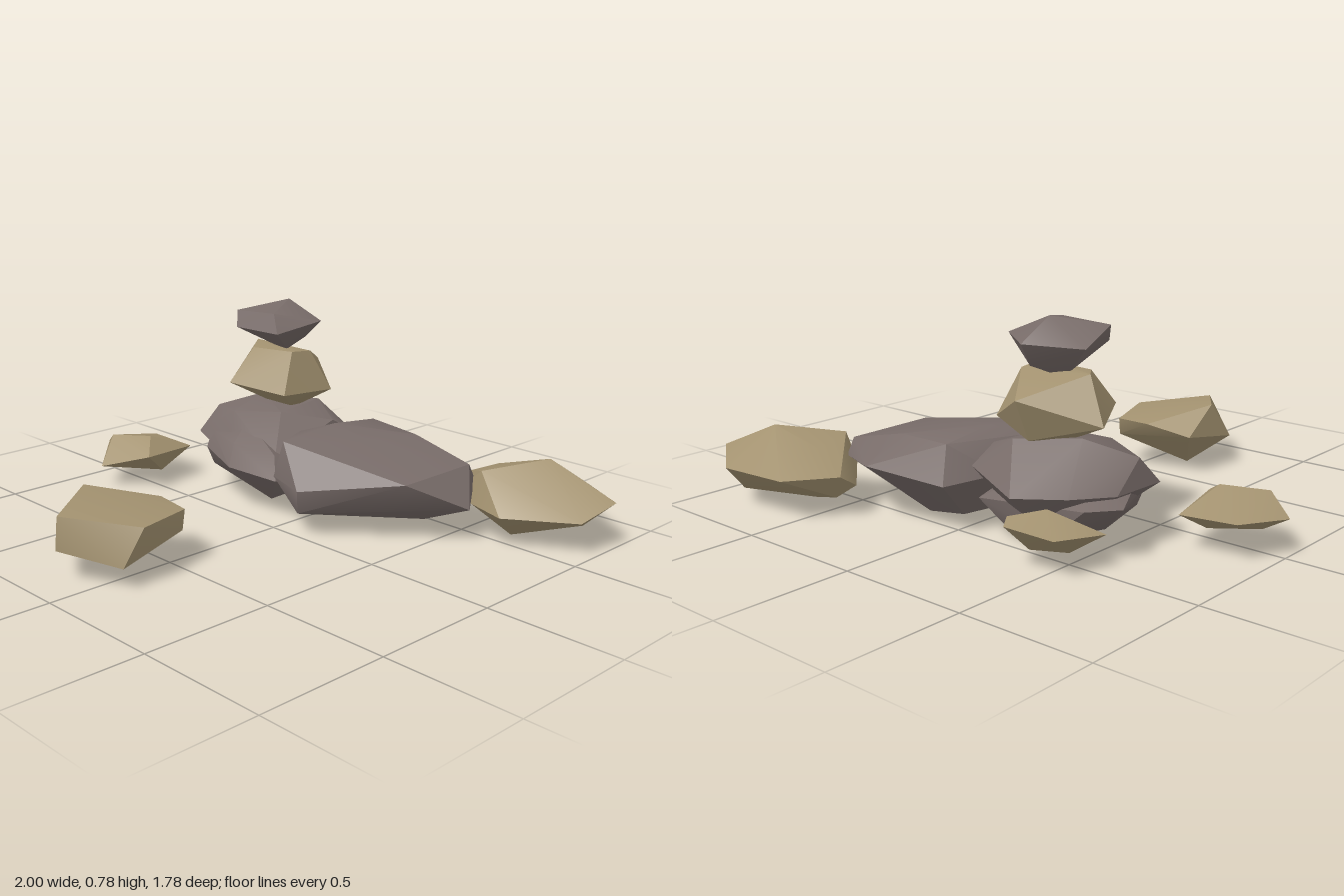
import * as THREE from 'three';
import { ConvexGeometry } from 'three/addons/geometries/ConvexGeometry.js';
import { toCreasedNormals } from 'three/addons/utils/BufferGeometryUtils.js';

// Each stone is the convex hull of a few corners [x, y, z]
const darkStones = {
  capStone: [
    [-0.33, 0.79, -0.4], [-0.45, 0.75, -0.23], [-0.25, 0.76, -0.24],
    [-0.49, 0.7, -0.41], [-0.42, 0.69, -0.2], [-0.2, 0.69, -0.21], [-0.17, 0.72, -0.42], [-0.31, 0.71, -0.515],
    [-0.39, 0.61, -0.36], [-0.27, 0.605, -0.33], [-0.33, 0.59, -0.37], [-0.3, 0.63, -0.46],
  ],
  stackBaseStone: [
    [-0.59, 0.33, -0.25], [-0.44, 0.39, -0.36], [-0.24, 0.38, -0.48], [-0.22, 0.37, -0.25], [-0.1, 0.33, -0.42],
    [-0.42, 0.35, -0.18], [-0.61, 0.23, -0.16], [-0.6, 0.23, -0.38], [-0.52, 0.24, -0.53], [-0.37, 0.24, -0.64],
    [-0.1, 0.27, -0.53], [-0.08, 0.2, -0.42], [-0.1, 0.22, -0.1], [-0.34, 0.18, -0.08],
    [-0.5, 0.13, -0.3], [-0.35, 0.1, -0.48], [-0.15, 0.1, -0.4],
  ],
  lowerStone: [
    [-0.36, 0.32, -0.2], [-0.53, 0.25, -0.16], [-0.3, 0.26, -0.07], [-0.1, 0.25, -0.1],
    [-0.64, 0.2, -0.4], [-0.56, 0.2, -0.5], [-0.52, 0.19, -0.12], [-0.25, 0.19, 0], [-0.02, 0.18, -0.03],
    [-0.5, 0.12, -0.14], [-0.45, 0.05, -0.25], [-0.2, 0.03, -0.18], [-0.2, 0.04, -0.45], [-0.42, 0.08, -0.5],
    [-0.1, 0.15, -0.5],
  ],
  largeStone: [
    [0, 0.355, -0.33], [-0.1, 0.32, -0.24], [-0.02, 0.33, -0.07], [0.22, 0.33, -0.3], [0.24, 0.32, -0.53],
    [0, 0.33, -0.55], [0.5, 0.26, -0.17], [0.5, 0.26, -0.53],
    [-0.04, 0.2, -0.61], [0.29, 0.22, -0.66], [0.5, 0.2, -0.565], [0.61, 0.14, -0.4],
    [0.14, 0.19, 0.015], [-0.03, 0.2, -0.03], [-0.13, 0.2, -0.2], [-0.13, 0.22, -0.42],
    [0.13, 0.1, 0], [-0.02, 0.04, -0.15], [0.22, 0.01, -0.42], [0.4, 0.05, -0.4], [0.02, 0.05, -0.45],
  ],
};

const tanStones = {
  middleStone: [
    [-0.47, 0.61, -0.36], [-0.4, 0.6, -0.27], [-0.2, 0.61, -0.29], [-0.2, 0.6, -0.39], [-0.31, 0.53, -0.545],
    [-0.55, 0.45, -0.39], [-0.42, 0.47, -0.16], [-0.17, 0.45, -0.22], [-0.15, 0.44, -0.46],
    [-0.37, 0.37, -0.34], [-0.27, 0.36, -0.36], [-0.3, 0.38, -0.47],
  ],
  rightStone: [
    [0.74, 0.3, -0.7], [0.53, 0.24, -0.67], [0.58, 0.26, -0.5],
    [0.38, 0.17, -0.7], [0.5, 0.17, -0.87], [0.78, 0.17, -0.895], [1, 0.185, -0.74], [0.97, 0.14, -0.57],
    [0.72, 0.13, -0.43], [0.57, 0.14, -0.46], [0.39, 0.12, -0.62],
    [0.85, 0.05, -0.77], [0.66, 0.01, -0.59], [0.43, 0.08, -0.68],
  ],
  leftStone: [
    [-0.89, 0.2, 0.08], [-0.74, 0.21, 0], [-1, 0.14, 0.02], [-0.915, 0.15, -0.165], [-0.7, 0.14, -0.18],
    [-0.65, 0.155, 0.08], [-0.84, 0.095, 0.18], [-0.72, 0.06, -0.04], [-0.91, 0.09, 0],
  ],
  frontStone: [
    [-0.26, 0.275, 0.67], [-0.11, 0.25, 0.885], [0.11, 0.22, 0.69], [0.04, 0.21, 0.46], [-0.11, 0.215, 0.445],
    [-0.26, 0.17, 0.52], [-0.28, 0.13, 0.78], [-0.12, 0.125, 0.89], [0.095, 0.09, 0.77],
    [0.05, 0.14, 0.48], [-0.15, 0.02, 0.67],
  ],
  backStone: [
    [-0.57, 0.15, -0.66], [-0.38, 0.16, -0.68], [-0.34, 0.17, -0.62], [-0.62, 0.13, -0.46],
    [-0.45, 0.2, -0.55], [-0.36, 0.12, -0.42], [-0.5, 0.05, -0.5], [-0.4, 0.06, -0.58],
  ],
};

export function createModel() {
  const group = new THREE.Group();
  group.name = 'rockPile';
  const darkRock = new THREE.MeshStandardMaterial({ color: 0x786c69 });
  darkRock.name = 'darkRock';
  const tanRock = new THREE.MeshStandardMaterial({ color: 0xa39270 });
  tanRock.name = 'tanRock';

  const addStones = (stones, material) => {
    for (const [name, corners] of Object.entries(stones)) {
      const hull = new ConvexGeometry(corners.map((c) => new THREE.Vector3(...c)));
      // Soften shallow edges, keep the steep ones sharp
      const mesh = new THREE.Mesh(toCreasedNormals(hull, 0.55), material);
      mesh.name = name;
      group.add(mesh);
    }
  };
  addStones(darkStones, darkRock);
  addStones(tanStones, tanRock);
  group.position.y = -0.01; // rest the lowest corners on the ground
  return group;
}
